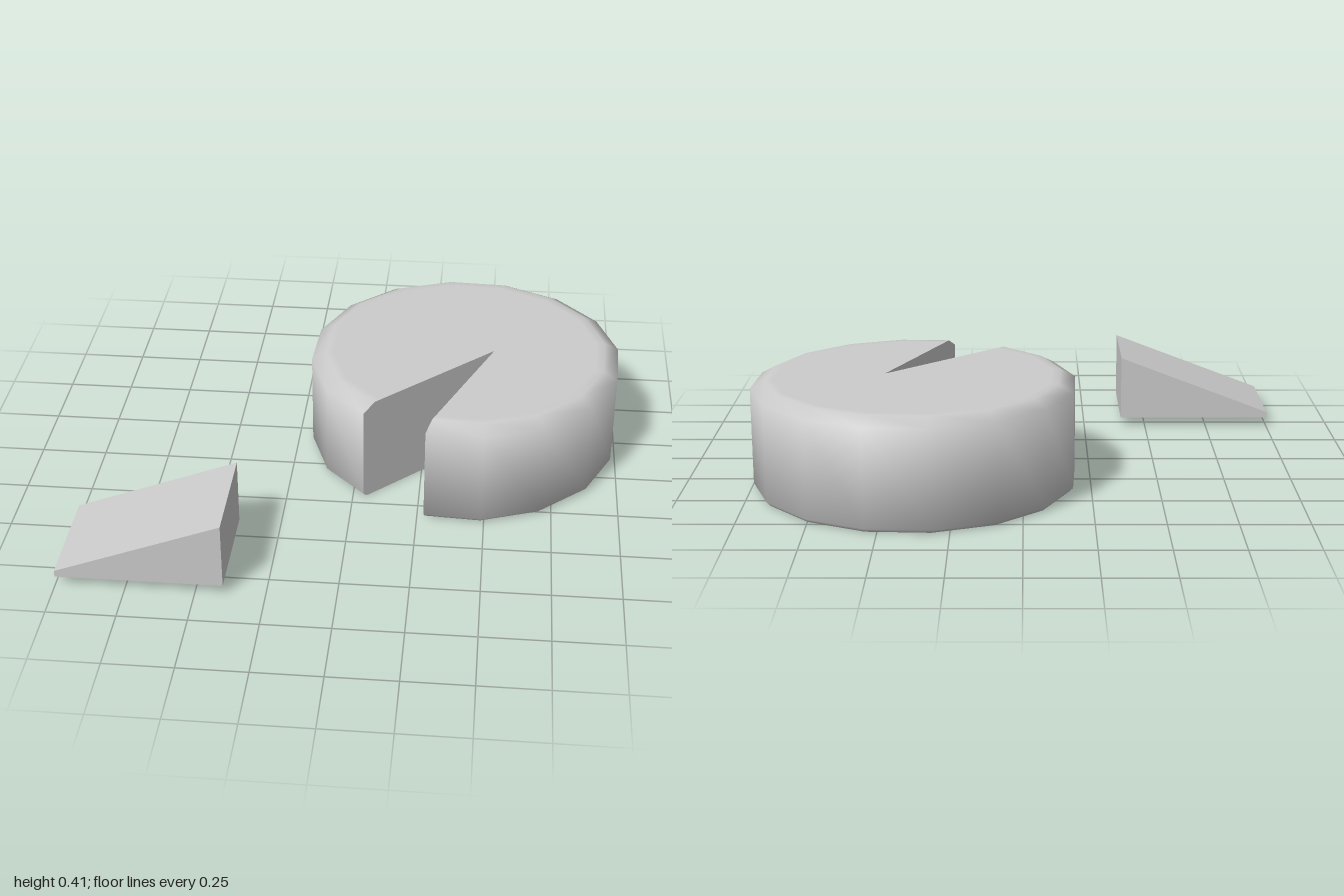
import * as THREE from 'three';
import { toCreasedNormals } from 'three/addons/utils/BufferGeometryUtils.js';

const material = new THREE.MeshStandardMaterial({ color: 0xcccccc });

// Sixteen-sided wheel with one slice missing, lofted through stacked outlines.
function wheelGeometry() {
  const centre = new THREE.Vector2(0.4, -0.255);
  const apex = new THREE.Vector2(0.51, -0.24);
  const outline = [new THREE.Vector2(0.04, 0.21)];
  for (let i = 1; i < 15; i++) {
    const a = THREE.MathUtils.degToRad(216.5 + i * 22.5);
    outline.push(new THREE.Vector2(centre.x + 0.6 * Math.sin(a), centre.y - 0.6 * Math.cos(a)));
  }
  outline.push(new THREE.Vector2(0.275, 0.325));

  // Rim points move in to the centre, the slice corners slide along the cut.
  const ring = ([y, inset]) => {
    const points = outline.map((p, i) => {
      const target = i === 0 || i === outline.length - 1 ? apex : centre;
      const q = p.clone().lerp(target, inset / p.distanceTo(target));
      return new THREE.Vector3(q.x, y, q.y);
    });
    return [...points, new THREE.Vector3(apex.x, y, apex.y)];
  };
  // [height, inset]: flat base, small lower bevel, wall, wide upper bevel, flat top
  const rings = [[0, 0.05], [0, 0.015], [0.015, 0], [0.375, 0], [0.405, 0.055], [0.405, 0.085]].map(ring);

  const positions = [];
  const tri = (a, b, c) => {
    if (new THREE.Triangle(a, b, c).getArea() < 1e-6) return;
    for (const p of [a, b, c]) positions.push(p.x, p.y, p.z);
  };
  const n = rings[0].length;
  for (let r = 0; r < rings.length - 1; r++) {
    for (let i = 0; i < n; i++) {
      const j = (i + 1) % n, low = rings[r], high = rings[r + 1];
      tri(low[i], high[i], high[j]);
      tri(low[i], high[j], low[j]);
    }
  }
  // Caps fan out from the tip of the cut.
  const bottom = rings[0], top = rings[rings.length - 1];
  for (let i = 0; i < n - 2; i++) {
    tri(top[n - 1], top[i + 1], top[i]);
    tri(bottom[n - 1], bottom[i], bottom[i + 1]);
  }
  const geometry = new THREE.BufferGeometry();
  geometry.setAttribute('position', new THREE.Float32BufferAttribute(positions, 3));
  return toCreasedNormals(geometry, THREE.MathUtils.degToRad(66));
}

// Ramp-shaped slice with a blunt thin end.
function sliceGeometry() {
  const profile = new THREE.Shape([
    new THREE.Vector2(-1, 0.035), new THREE.Vector2(-0.4, 0.035),
    new THREE.Vector2(-0.4, 0.288), new THREE.Vector2(-1, 0.06),
  ]);
  return new THREE.ExtrudeGeometry(profile, { depth: 0.4, bevelEnabled: false }).translate(0, 0, 0.445);
}

export function createModel() {
  const group = new THREE.Group();
  for (const [name, geometry] of [['wheel', wheelGeometry()], ['slice', sliceGeometry()]]) {
    const mesh = new THREE.Mesh(geometry, material);
    mesh.name = name;
    group.add(mesh);
  }
  return group;
}
